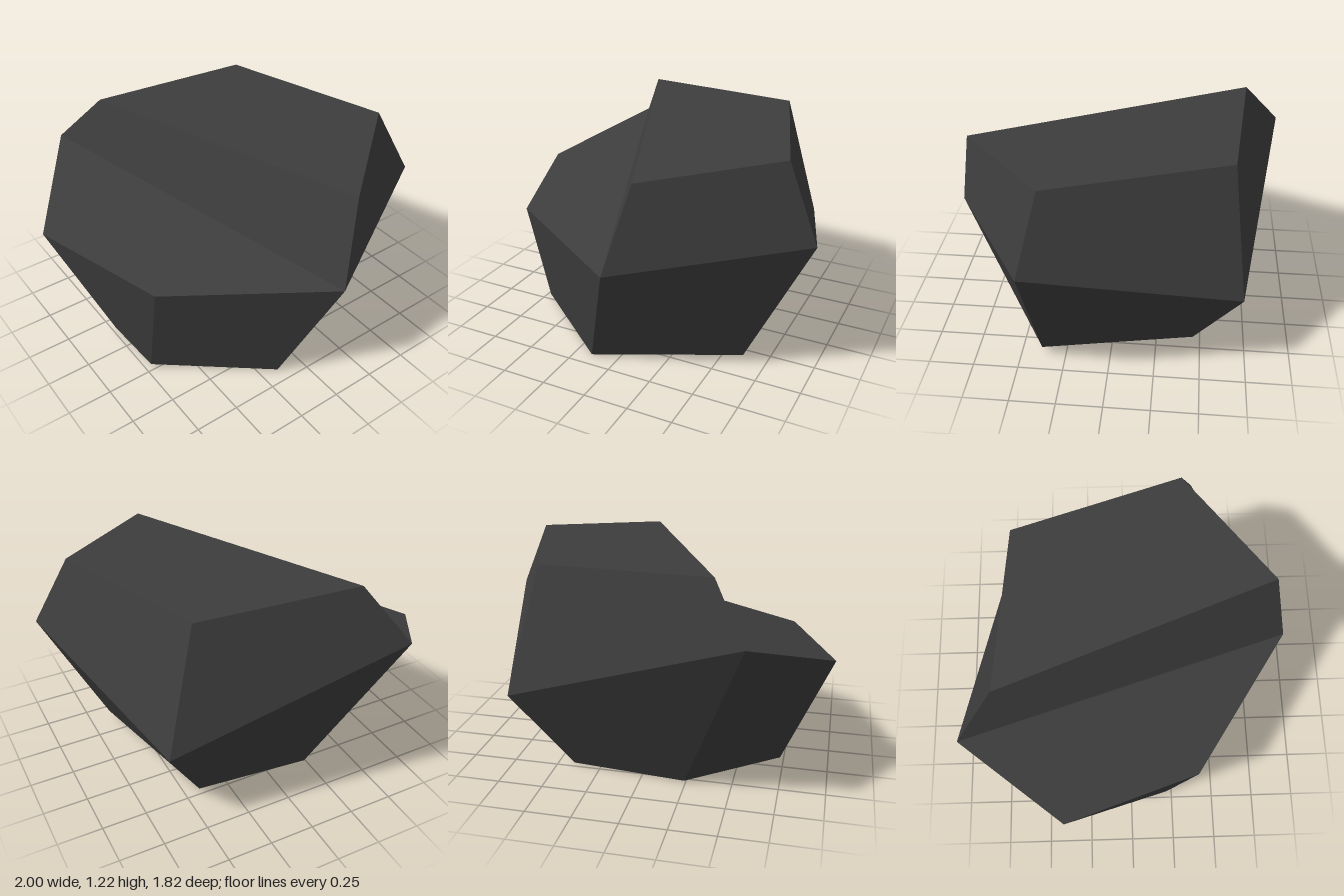
import * as THREE from 'three';

// Corner points of the boulder, from the crown down to the base
const corners = {
  // raised crown
  crownBackLow: [-0.41, 1.215, -0.70],
  crownBackHigh: [0.50, 1.205, -0.62],
  crownFrontHigh: [0.81, 1.19, 0.32],
  crownFrontLow: [0.20, 1.14, 0.81],
  // waist and lower shelf
  shelfSide: [-1.0, 0.715, -0.37],
  shelfFront: [-0.74, 0.66, 0.37],
  creaseBack: [-0.59, 0.94, -0.91],
  creaseFront: [0.07, 0.66, 0.91],
  waistFront: [1.0, 0.80, 0.41],
  waistBack: [0.68, 0.50, -0.705],
  // base
  baseFrontSide: [-0.715, 0.015, 0.22],
  baseFront: [-0.15, 0.005, 0.67],
  baseRaised: [0.635, 0.055, 0.38],
  baseBackSide: [0.41, 0, -0.46],
  baseBack: [-0.24, 0.005, -0.53],
  baseSide: [-0.73, 0.01, -0.16],
};

// Facets, each listed counter-clockwise from outside
const facets = [
  ['crownBackLow', 'crownFrontLow', 'crownFrontHigh', 'crownBackHigh'],
  ['crownBackLow', 'creaseBack', 'creaseFront', 'crownFrontLow'],
  ['crownFrontHigh', 'crownFrontLow', 'creaseFront', 'waistFront'],
  ['crownBackHigh', 'crownFrontHigh', 'waistFront', 'waistBack'],
  ['crownBackLow', 'crownBackHigh', 'waistBack', 'creaseBack'],
  ['shelfSide', 'shelfFront', 'creaseFront', 'creaseBack'],
  ['shelfFront', 'baseFrontSide', 'baseFront', 'creaseFront'],
  ['shelfSide', 'baseSide', 'baseFrontSide', 'shelfFront'],
  ['creaseFront', 'baseFront', 'baseRaised', 'waistFront'],
  ['waistFront', 'baseRaised', 'baseBackSide', 'waistBack'],
  ['waistBack', 'baseBackSide', 'baseBack', 'creaseBack'],
  ['creaseBack', 'baseBack', 'baseSide', 'shelfSide'],
  ['baseFront', 'baseFrontSide', 'baseSide', 'baseBack', 'baseBackSide', 'baseRaised'],
];

// Fan each facet into triangles; one shared normal keeps it reading as a single plane
function facetGeometry() {
  const positions = [];
  const normals = [];
  for (const facet of facets) {
    const points = facet.map((name) => new THREE.Vector3(...corners[name]));
    const normal = new THREE.Vector3();
    points.forEach((p, i) => {
      normal.add(new THREE.Vector3().crossVectors(p, points[(i + 1) % points.length]));
    });
    normal.normalize();
    for (let i = 1; i < points.length - 1; i++) {
      for (const p of [points[0], points[i], points[i + 1]]) {
        positions.push(p.x, p.y, p.z);
        normals.push(normal.x, normal.y, normal.z);
      }
    }
  }
  const geometry = new THREE.BufferGeometry();
  geometry.setAttribute('position', new THREE.Float32BufferAttribute(positions, 3));
  geometry.setAttribute('normal', new THREE.Float32BufferAttribute(normals, 3));
  return geometry;
}

export function createModel() {
  const group = new THREE.Group();
  group.name = 'rock';

  const darkStone = new THREE.MeshStandardMaterial({ color: 0x3d3d3d });
  darkStone.name = 'darkStone';

  const boulder = new THREE.Mesh(facetGeometry(), darkStone);
  boulder.name = 'boulder';
  group.add(boulder);
  return group;
}
